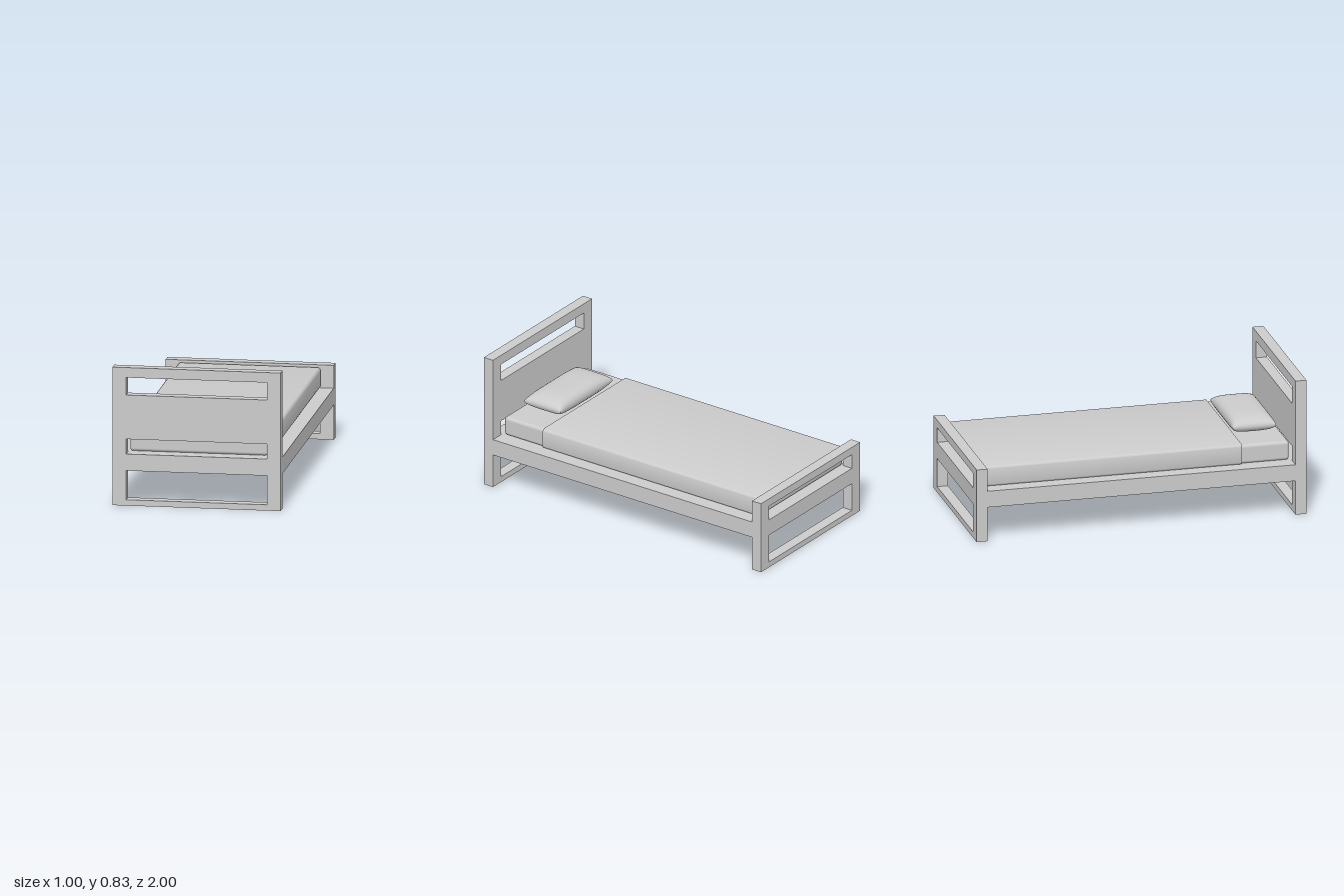
import * as THREE from 'three';
import { mergeVertices, toCreasedNormals } from 'three/addons/utils/BufferGeometryUtils.js';
import { RoundedBoxGeometry } from 'three/addons/geometries/RoundedBoxGeometry.js';

const material = new THREE.MeshStandardMaterial({ color: 0xcccccc });

function part(name, geometry, x = 0, y = 0, z = 0) {
  const mesh = new THREE.Mesh(geometry, material);
  mesh.name = name;
  mesh.position.set(x, y, z);
  return mesh;
}

function rectangle(Type, halfWidth, y0, y1) {
  const r = new Type();
  r.moveTo(-halfWidth, y0);
  r.lineTo(halfWidth, y0);
  r.lineTo(halfWidth, y1);
  r.lineTo(-halfWidth, y1);
  r.closePath();
  return r;
}

// End panel with rectangular openings
function endPanel(height, openings) {
  const shape = rectangle(THREE.Shape, 0.5, 0, height);
  for (const [y0, y1] of openings) shape.holes.push(rectangle(THREE.Path, 0.418, y0, y1));
  return new THREE.ExtrudeGeometry(shape, { depth: 0.066, bevelEnabled: false });
}

// Soft box whose head end is cut off square
function blanketGeometry(width, height, zFoot, zHead) {
  const extra = 0.06;
  const length = zHead + extra - zFoot;
  const g = new RoundedBoxGeometry(width, height, length, 4, 0.02);
  g.translate(0, 0, zFoot + length / 2);
  const p = g.attributes.position;
  for (let i = 0; i < p.count; i++) {
    if (p.getZ(i) > 0) {
      // straighten the rounded end back to the full section, then cut
      const sx = Math.abs(p.getX(i)), sy = Math.abs(p.getY(i));
      if (p.getZ(i) > zHead + extra - 0.021 && sx > width / 2 - 0.02 && sy < height / 2 - 0.02) {
        p.setX(i, Math.sign(p.getX(i)) * sx);
      }
      p.setZ(i, Math.min(p.getZ(i), zHead));
    }
  }
  return toCreasedNormals(g, 0.7);
}

// Cushion with a thin seam, puffed faces and slightly pulled-out corners
function pillowGeometry(halfWidth, halfHeight, halfDepth) {
  let g = new THREE.BoxGeometry(2, 2, 2, 28, 1, 20);
  g.deleteAttribute('uv');
  g.deleteAttribute('normal');
  g = mergeVertices(g);
  const p = g.attributes.position;
  const seam = 0.003;
  for (let i = 0; i < p.count; i++) {
    const u = Math.sin(p.getX(i) * Math.PI / 2);
    const v = Math.sin(p.getZ(i) * Math.PI / 2);
    const puff = Math.sqrt(Math.max(0, (1 - u ** 4) * (1 - v ** 4)));
    const round = 1 - 0.05 * (u * v) ** 8;
    p.setXYZ(
      i,
      u * round * (halfWidth - 0.012 * (1 - v ** 6)),
      Math.sign(p.getY(i)) * (seam + (halfHeight - seam) * puff),
      v * round * (halfDepth - 0.01 * (1 - u ** 6))
    );
  }
  g.computeVertexNormals();
  return g;
}

export function createModel() {
  const bed = new THREE.Group();
  bed.name = 'bed';

  // Frame
  const lower = [[0.035, 0.21], [0.31, 0.4]];
  bed.add(part('headboard', endPanel(0.83, [...lower, [0.665, 0.77]]), 0, 0, 0.934));
  bed.add(part('footboard', endPanel(0.448, lower), 0, 0, -1));
  bed.add(part('platform', new THREE.BoxGeometry(1, 0.1, 1.868), 0, 0.26, 0));

  // Bedding
  bed.add(part('mattress', new RoundedBoxGeometry(0.82, 0.118, 1.84, 4, 0.02), 0, 0.369, 0));
  bed.add(part('blanket', blanketGeometry(0.85, 0.126, -0.932, 0.63), 0, 0.373, 0));
  bed.add(part('pillow', pillowGeometry(0.275, 0.056, 0.138), 0, 0.483, 0.748));

  return bed;
}
